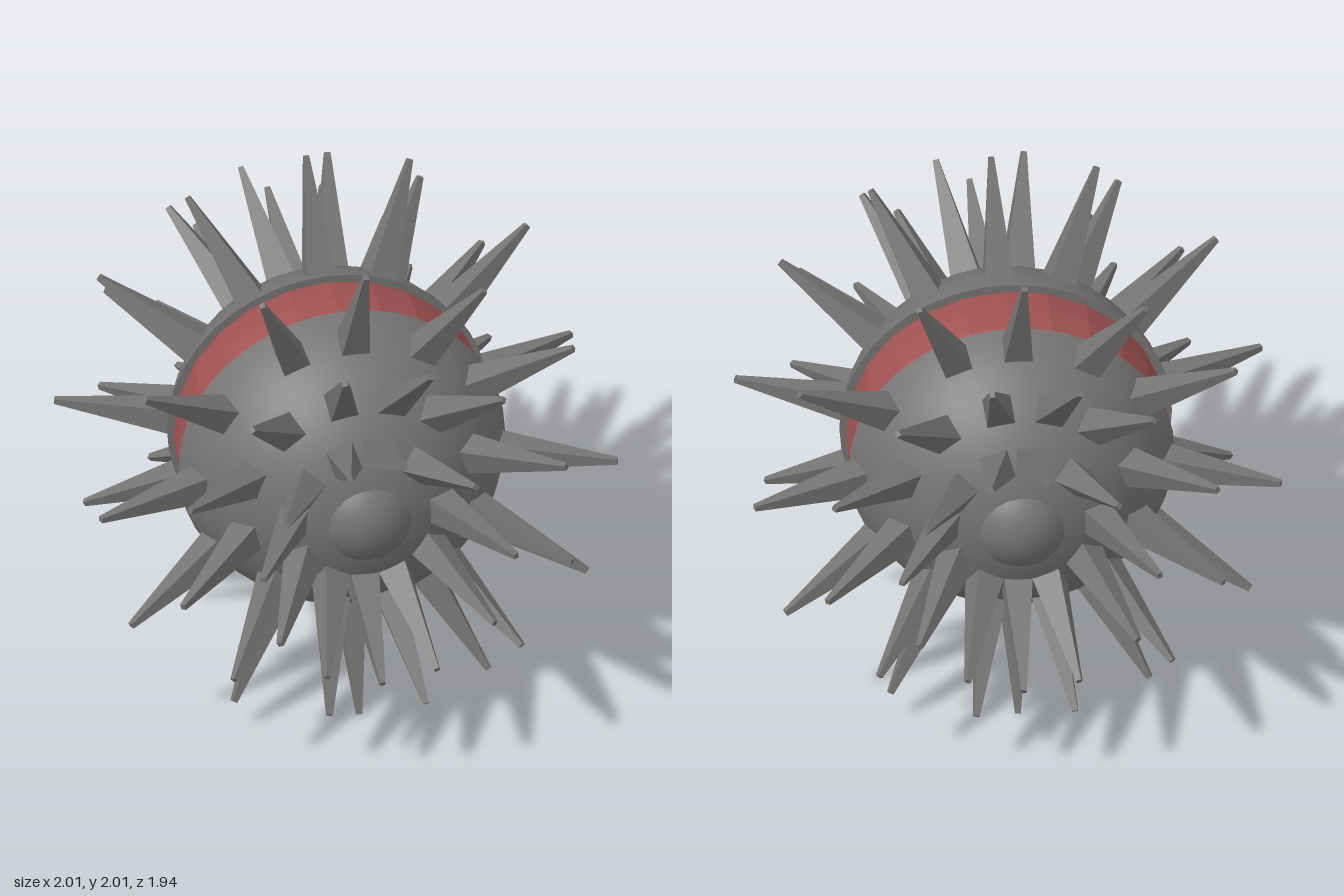
import * as THREE from 'three';

const RADIUS = 0.64;   // shell radius
const SPIKE_IN = 0.55; // embedded spike root
const SPIKE_OUT = 1.085;
const deg = THREE.MathUtils.degToRad;

// Rings of spikes: elevation from the seam plane, and angles around the z axis
const rings = [
  { name: 'outerSpike', tilt: 22.8, angles: [1, 34, 61, 88.5, 112, 146, 178, 208, 241, 270, 300, 332] },
  { name: 'middleSpike', tilt: 44.5, angles: [19.5, 51, 74.5, 99.5, 129, 160, 193, 224, 256, 284, 316, 346.5] },
  { name: 'innerSpike', tilt: 63, angles: [2.5, 47, 83, 108, 144, 174, 211, 241, 267, 292, 326] },
];

export function createModel() {
  const model = new THREE.Group();
  model.name = 'spikedBall';

  const grey = new THREE.MeshStandardMaterial({ color: 0x767472 });
  grey.name = 'steelGrey';
  const greyFlat = grey.clone();
  greyFlat.flatShading = true;
  greyFlat.name = 'steelGreyFaceted';
  const red = new THREE.MeshStandardMaterial({ color: 0xa05252, flatShading: true });
  red.name = 'dullRed';

  const add = (parent, name, geometry, material) => {
    const mesh = new THREE.Mesh(geometry, material);
    mesh.name = name;
    parent.add(mesh);
    return mesh;
  };

  // Four-sided blunt spike, pivoting about the ball centre
  const spike = new THREE.CylinderGeometry(0.015, 0.088, SPIKE_OUT - SPIKE_IN, 4);
  spike.rotateY(Math.PI / 4);
  spike.translate(0, (SPIKE_IN + SPIKE_OUT) / 2, 0);

  // One half: shell dome, rim, end ball and spikes, facing +z
  const makeHalf = (name, cut) => {
    const half = new THREE.Group();
    half.name = name;
    const dome = new THREE.SphereGeometry(RADIUS, 40, 16, 0, Math.PI * 2, 0, Math.acos(cut / RADIUS));
    dome.rotateX(Math.PI / 2);
    add(half, 'shell', dome, grey);

    const rim = new THREE.RingGeometry(0.57, Math.sqrt(RADIUS ** 2 - cut ** 2), 40);
    rim.rotateY(Math.PI);
    add(half, 'shellRim', rim, grey).position.z = cut;

    const ball = new THREE.SphereGeometry(0.212, 32, 20);
    add(half, 'endBall', ball, grey).position.z = 0.48;

    for (const ring of rings) {
      for (const angle of ring.angles) {
        const s = add(half, ring.name, spike, greyFlat);
        s.rotation.set(deg(ring.tilt), 0, deg(angle - 90), 'ZXY');
      }
    }
    model.add(half);
    return half;
  };
  makeHalf('frontHalf', 0.1);
  makeHalf('backHalf', 0.16).rotation.y = Math.PI;

  // Faceted red band in the gap between the halves
  const profile = [[0.58, -0.2], [0.603, -0.12], [0.613, -0.02], [0.607, 0.08], [0.59, 0.14]]
    .map(([r, z]) => new THREE.Vector2(r, z));
  const band = new THREE.LatheGeometry(profile, 24);
  band.rotateX(Math.PI / 2);
  add(model, 'seamBand', band, red);

  model.position.y = 1;
  const root = new THREE.Group();
  root.name = 'model';
  root.add(model);
  return root;
}
